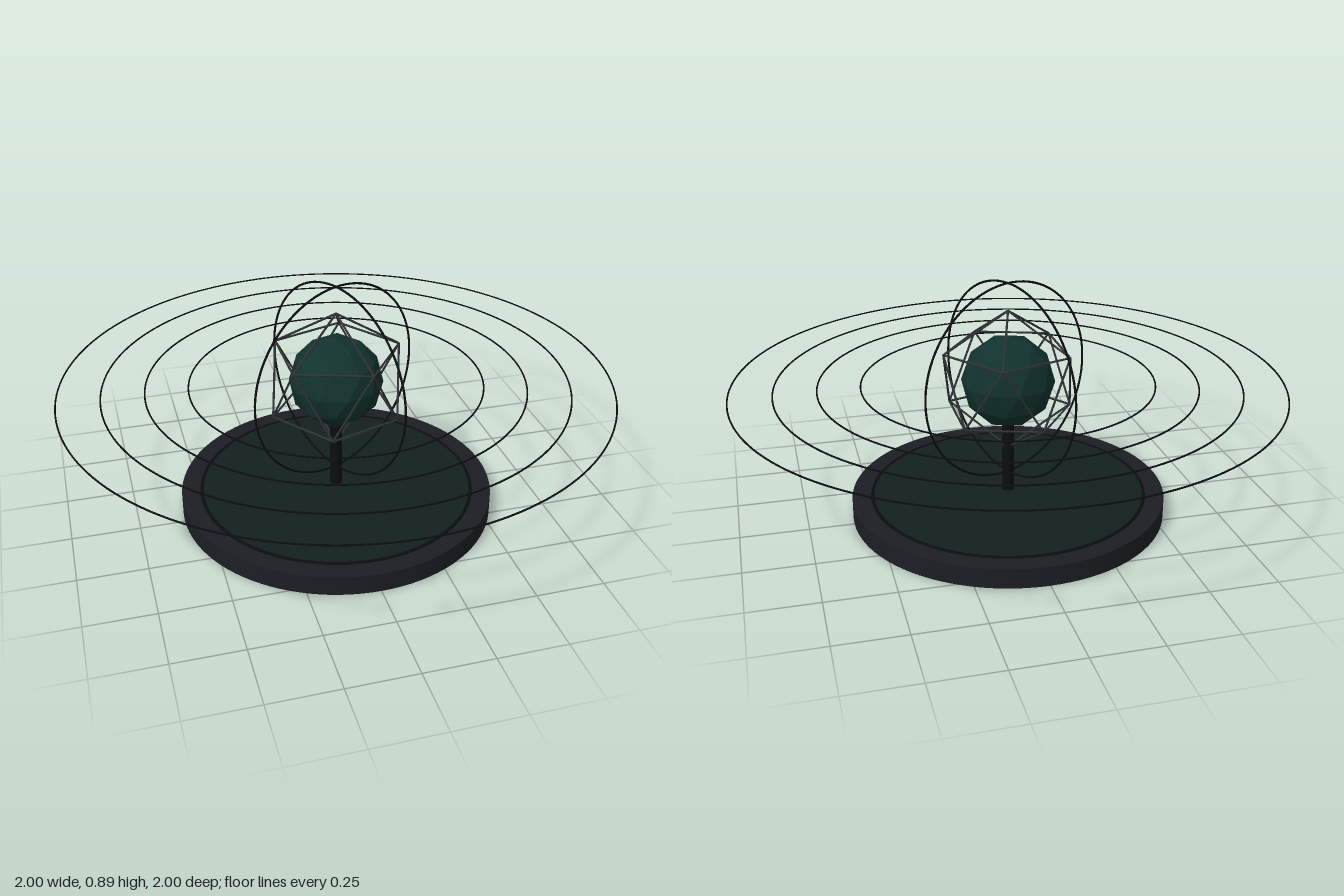
import * as THREE from 'three';

const CENTER_Y = 0.515;

const paint = (color, flatShading = false) => {
  const m = new THREE.MeshStandardMaterial({ flatShading });
  m.color.set(color);
  return m;
};

function add(parent, name, geometry, material, y = 0) {
  const mesh = new THREE.Mesh(geometry, material);
  mesh.name = name;
  mesh.position.y = y;
  parent.add(mesh);
  return mesh;
}

// Icosahedron standing on a vertex: two poles and two staggered rings of five
function poleIcosahedron() {
  const points = [new THREE.Vector3(0, 1, 0)];
  const h = 1 / Math.sqrt(5);
  for (const [y, turn] of [[h, 0], [-h, Math.PI / 5]]) {
    for (let i = 0; i < 5; i++) {
      const a = turn + (i * Math.PI * 2) / 5;
      points.push(new THREE.Vector3(2 * h * Math.cos(a), y, -2 * h * Math.sin(a)));
    }
  }
  points.push(new THREE.Vector3(0, -1, 0));
  const faces = [];
  for (let i = 0; i < 5; i++) {
    const j = (i + 1) % 5;
    const u = 1 + i, v = 1 + j, l = 6 + i, m = 6 + j;
    faces.push(0, u, v, u, l, v, l, m, v, 11, m, l);
  }
  return { points, faces };
}

export function createModel() {
  const model = new THREE.Group();
  model.name = 'orbitSculpture';

  const baseMat = paint(0x1c1e24);
  const discMat = paint(0x12201d);
  const blackMat = paint(0x0c0d0f);
  const wireMat = paint(0x303236);
  const coreMat = paint(0x12322e, true);

  // Round base with inlaid disc and dark trim
  add(model, 'base', new THREE.CylinderGeometry(0.585, 0.585, 0.074, 96), baseMat, 0.037);
  add(model, 'baseDisc', new THREE.CylinderGeometry(0.51, 0.51, 0.004, 96), discMat, 0.074);
  const trim = add(model, 'baseTrim', new THREE.TorusGeometry(0.51, 0.007, 8, 96), blackMat, 0.073);
  trim.rotation.x = Math.PI / 2;

  // Stem
  add(model, 'stem', new THREE.CylinderGeometry(0.023, 0.023, 0.275, 24), blackMat, 0.2075);

  // Faceted core
  const { points, faces } = poleIcosahedron();
  const flat = points.flatMap((p) => p.toArray());
  add(model, 'core', new THREE.PolyhedronGeometry(flat, faces, 0.172, 1), coreMat, CENTER_Y);

  // Wire cage: one strut for every pair of neighbouring vertices
  const cage = new THREE.Group();
  cage.name = 'cage';
  cage.position.y = CENTER_Y;
  model.add(cage);
  const up = new THREE.Vector3(0, 1, 0);
  const corners = points.map((p) => p.clone().multiplyScalar(0.265));
  const edge = corners[0].distanceTo(corners[1]);
  const strutGeo = new THREE.CylinderGeometry(0.004, 0.004, edge, 6);
  corners.forEach((a, i) => {
    for (const b of corners.slice(i + 1)) {
      if (a.distanceTo(b) > edge * 1.1) continue;
      const strut = add(cage, 'cageStrut', strutGeo, wireMat);
      strut.position.copy(a).add(b).multiplyScalar(0.5);
      strut.quaternion.setFromUnitVectors(up, b.clone().sub(a).normalize());
    }
  });

  // Two upright hoops crossing at right angles
  for (const degrees of [25, 115]) {
    const hoop = add(model, 'uprightHoop', new THREE.TorusGeometry(0.367, 0.004, 8, 96), blackMat, CENTER_Y);
    hoop.rotation.y = THREE.MathUtils.degToRad(degrees);
  }

  // Level orbit rings, evenly spaced
  for (let i = 0; i < 4; i++) {
    const ring = add(model, 'orbitRing', new THREE.TorusGeometry(0.533 + i * 0.1547, 0.003, 8, 160), blackMat, CENTER_Y);
    ring.rotation.x = Math.PI / 2;
  }

  return model;
}
